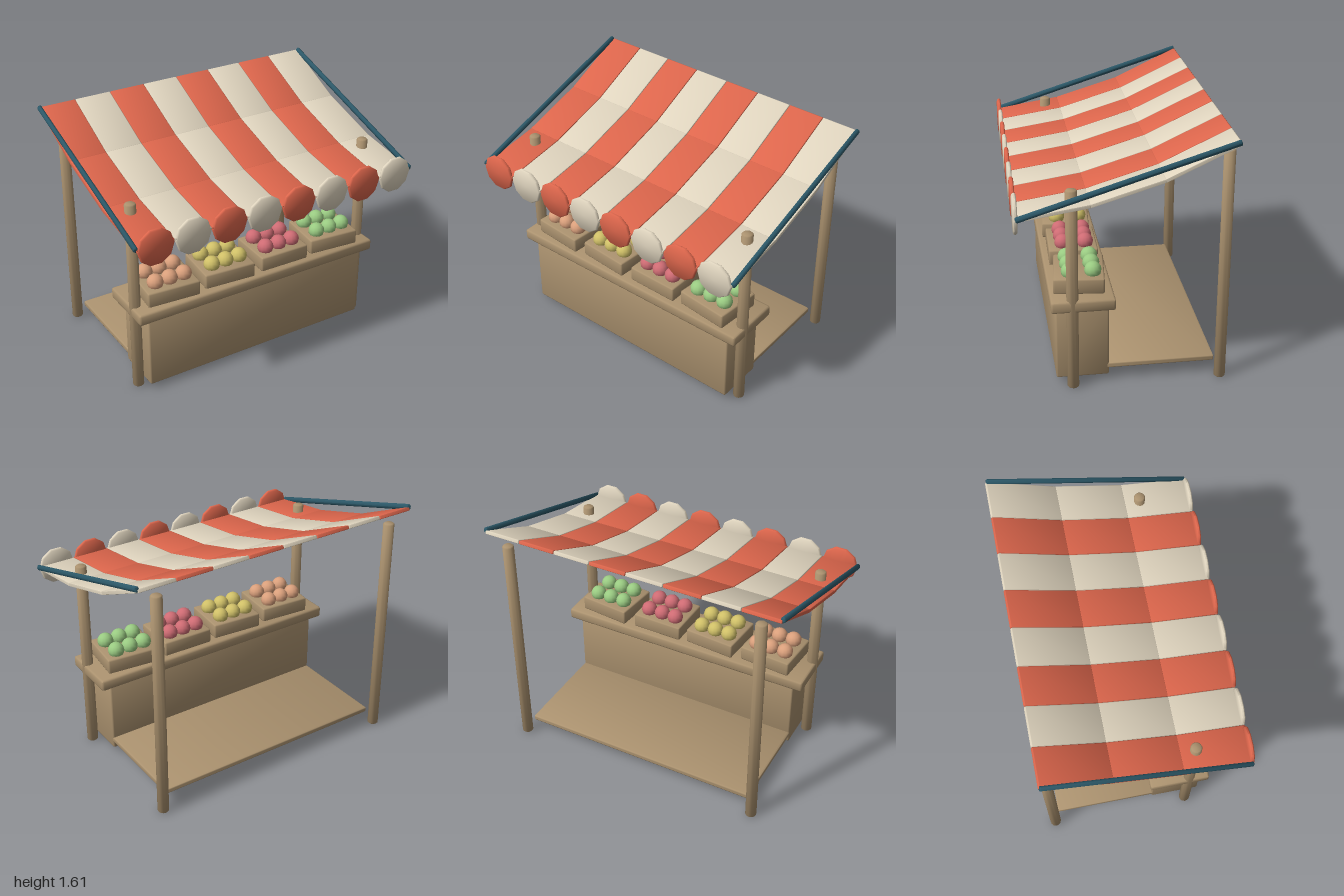
import * as THREE from 'three';
import { toCreasedNormals } from 'three/addons/utils/BufferGeometryUtils.js';
import { RoundedBoxGeometry } from 'three/addons/geometries/RoundedBoxGeometry.js';

function material(name, color) {
  const m = new THREE.MeshStandardMaterial({ color });
  m.name = name;
  return m;
}

// Box with a single soft chamfer
function softBox(w, h, d, bevel) {
  return toCreasedNormals(new RoundedBoxGeometry(w, h, d, 1, bevel), 0.9);
}

// Upright cylinder with chamfered rims, centred on the origin
function softCylinder(r, h, bevel, sides, start = 0) {
  const p = [[0, -h / 2], [r - bevel, -h / 2], [r, -h / 2 + bevel],
    [r, h / 2 - bevel], [r - bevel, h / 2], [0, h / 2]]
    .map(([x, y]) => new THREE.Vector2(x, y));
  return toCreasedNormals(new THREE.LatheGeometry(p, sides, start), 0.9);
}

export function createModel() {
  const root = new THREE.Group();
  root.name = 'marketStall';

  const wood = material('wood', 0xab926f);
  const red = material('redCloth', 0xdd664c);
  const cream = material('creamCloth', 0xdfd4be);
  const teal = material('tealBar', 0x2c5868);
  const fruitMaterials = [
    material('peachFruit', 0xdaa07c), material('yellowFruit', 0xd0c068),
    material('pinkFruit', 0xcf6c74), material('greenFruit', 0x9acb82),
  ];

  function add(name, geometry, mat, x, y, z, parent = root) {
    const mesh = new THREE.Mesh(geometry, mat);
    mesh.name = name;
    mesh.position.set(x, y, z);
    parent.add(mesh);
    return mesh;
  }

  // Counter and rear floor board
  add('counterBody', softBox(1.62, 0.49, 0.325, 0.01), wood, 0, 0.285, 0.248);
  add('counterTop', softBox(1.765, 0.075, 0.39, 0.014), wood, 0, 0.563, 0.247);
  add('floorBoard', softBox(1.62, 0.036, 0.68, 0.01), wood, 0, 0.102, -0.235);

  // Posts and awning side bars
  const awningRise = 0.4, awningRun = 1.275;
  for (const side of [-1, 1]) {
    add('frontPost', softCylinder(0.036, 1.31, 0.007, 12), wood, side * 0.85, 0.655, 0.312);
    add('rearPost', softCylinder(0.036, 1.51, 0.007, 12), wood, side * 0.85, 0.755, -0.605);
    const bar = add('awningBar', softCylinder(0.019, Math.hypot(awningRise, awningRun), 0.005, 8),
      teal, side * 0.985, 1.397, 0.002);
    bar.rotation.x = -Math.atan2(awningRun, awningRise);
    bar.scale.x = 0.8;
  }

  // Striped awning: three sagging panels per stripe, with a hanging scallop
  const awning = new THREE.Group();
  awning.name = 'awning';
  root.add(awning);
  const profile = [[0.64, 1.192], [0.214, 1.257], [-0.214, 1.387], [-0.638, 1.587]];
  const stripe = 0.246;
  for (let i = 0; i < 8; i++) {
    const x = (i - 3.5) * stripe;
    const cloth = i % 2 ? cream : red;
    for (let j = 0; j < 3; j++) {
      const [z0, y0] = profile[j], [z1, y1] = profile[j + 1];
      const length = Math.hypot(z1 - z0, y1 - y0) + 0.008;
      const panel = add('awningPanel', softBox(stripe, 0.024, length, 0.007), cloth,
        x, (y0 + y1) / 2, (z0 + z1) / 2, awning);
      panel.rotation.x = Math.atan2(y1 - y0, z0 - z1);
    }
    const scallop = add('scallop', softCylinder(0.12, 0.025, 0.008, 10, Math.PI / 2), cloth,
      x, 1.185, 0.638, awning);
    scallop.rotation.x = Math.PI / 2;
  }

  // Slightly turned crates, each with two rows of fruit
  const turns = [-0.08, -0.08, -0.02, -0.1];
  const fruitShape = new THREE.SphereGeometry(0.053, 12, 8);
  turns.forEach((turn, i) => {
    const x = -0.605 + i * 0.405;
    const crate = add('crate', softBox(0.35, 0.1, 0.31, 0.01), wood, x, 0.648, 0.247);
    crate.rotation.y = turn;
    for (let col = -1; col <= 1; col++) {
      for (const row of [-1, 1]) {
        add('fruit', fruitShape, fruitMaterials[i], x + col * 0.1, 0.723, 0.242 + row * 0.071);
      }
    }
  });

  return root;
}
